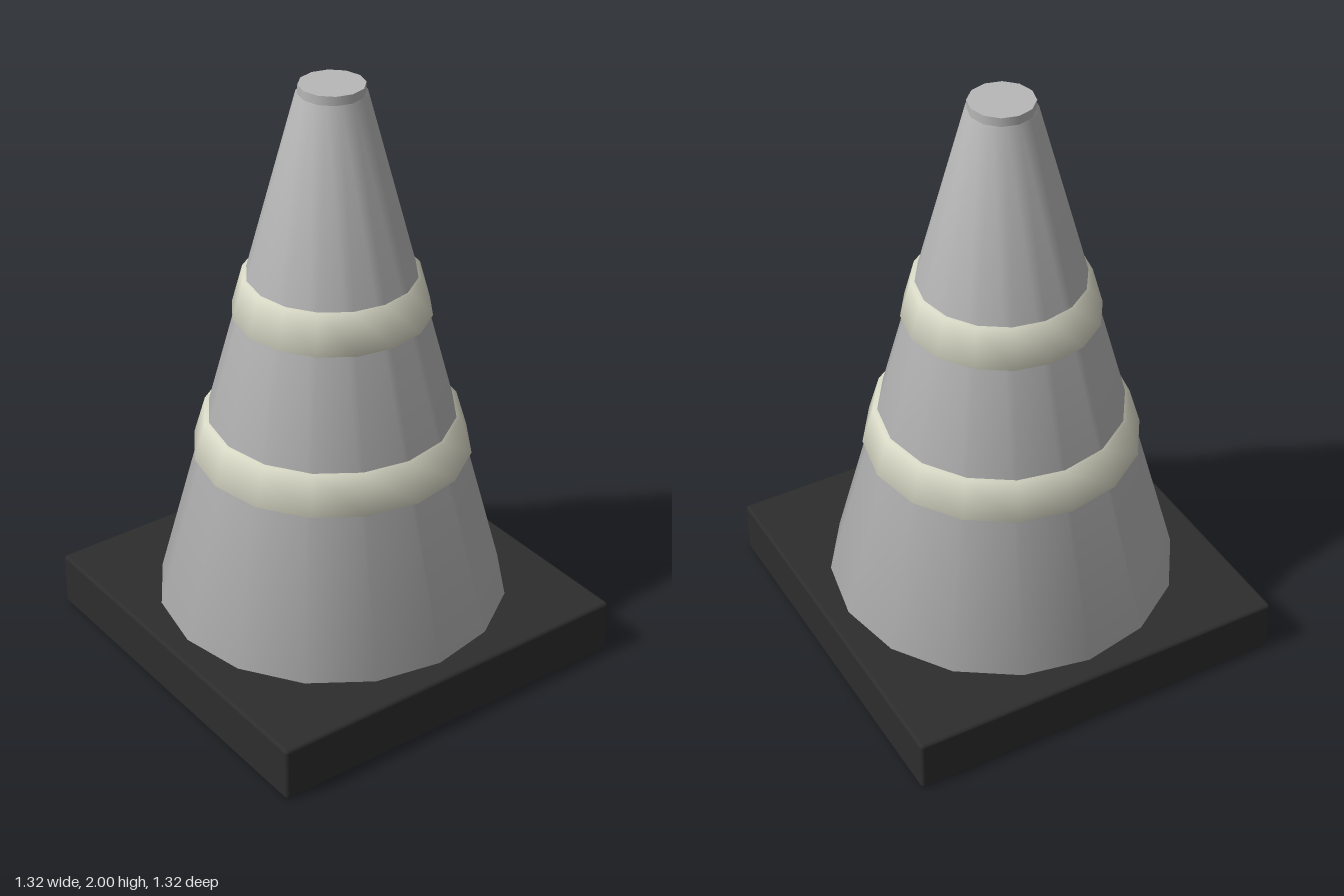
import * as THREE from 'three';
import { RoundedBoxGeometry } from 'three/addons/geometries/RoundedBoxGeometry.js';

const material = (name, color) => Object.assign(new THREE.MeshStandardMaterial({ color }), { name });

export function createModel() {
  const group = new THREE.Group();
  group.name = 'trafficCone';
  const grey = material('coneGrey', 0xb8b8b8);
  const cream = material('bandCream', 0xdadac8);
  const black = material('baseBlack', 0x2d2d2d);

  const add = (name, geometry, mat, y = 0) => {
    const mesh = new THREE.Mesh(geometry, mat);
    mesh.name = name;
    mesh.position.y = y;
    group.add(mesh);
  };

  // Sixteen-sided turned part, profile running bottom to top, normals softened over the rims
  const turned = (profile) =>
    new THREE.LatheGeometry(profile.map(([r, y]) => new THREE.Vector2(r, y)), 16);

  // Square foot with slightly eased edges
  add('base', new RoundedBoxGeometry(1.32, 0.19, 1.32, 2, 0.012), black, 0.095);

  // Tapered body, closed at both ends
  add('coneBody', turned([[0, 0.19], [0.585, 0.19], [0.112, 1.97], [0, 1.97]]), grey);

  // Small cap on the tip
  add('tipCap', new THREE.CylinderGeometry(0.105, 0.105, 0.04, 12), grey, 1.98);

  // Raised bands: [name, bottom y, bottom radius, top y, top radius]
  for (const [name, y0, r0, y1, r1] of [
    ['lowerBand', 0.735, 0.458, 0.865, 0.42],
    ['upperBand', 1.232, 0.322, 1.362, 0.287],
  ]) {
    add(name, turned([[r0 - 0.06, y0], [r0, y0], [r1, y1], [r1 - 0.06, y1]]), cream);
  }

  return group;
}
